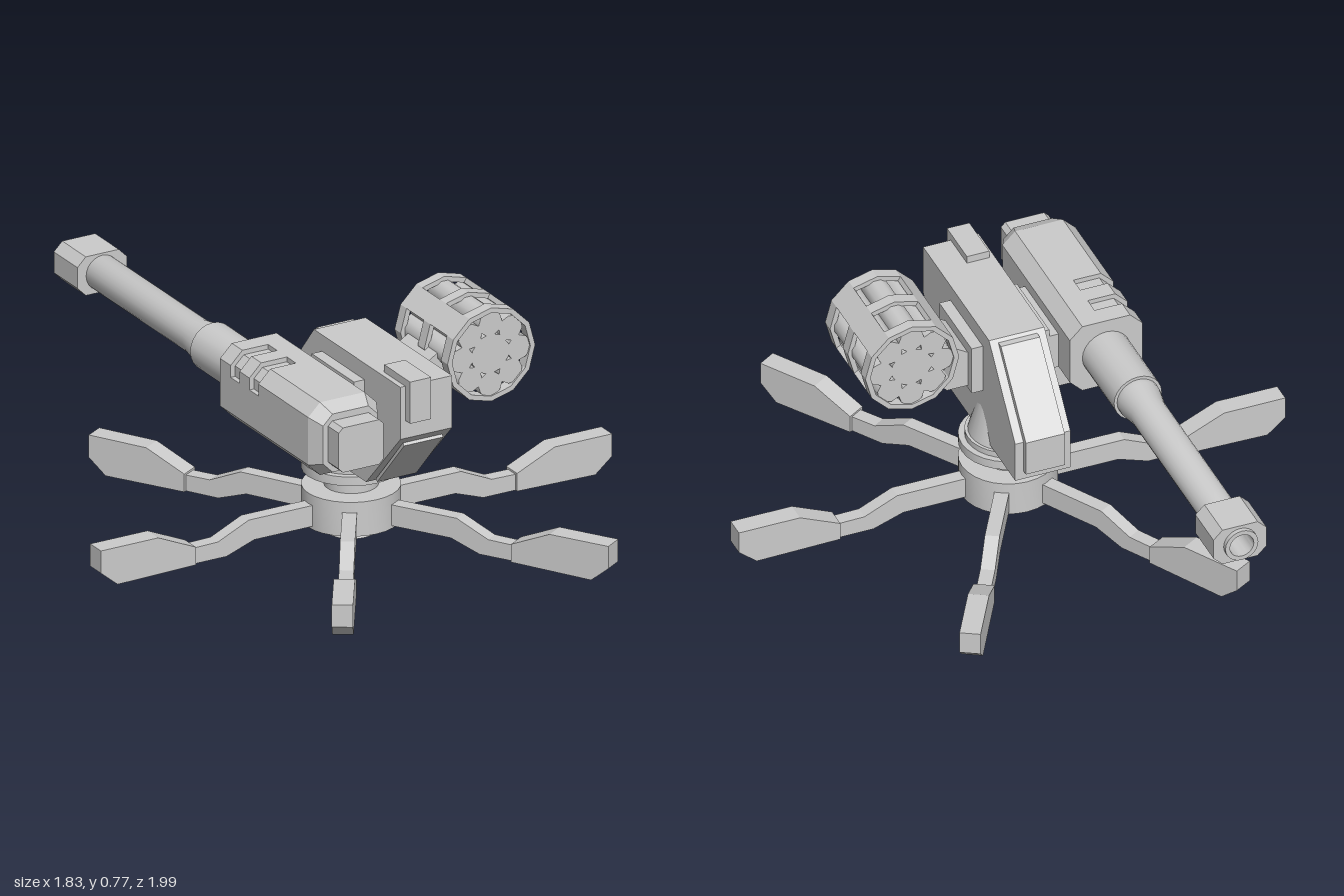
import * as THREE from 'three';
import { toCreasedNormals } from 'three/addons/utils/BufferGeometryUtils.js';

const material = new THREE.MeshStandardMaterial({ color: 0xcccccc });

function add(parent, name, geometry) {
  const mesh = new THREE.Mesh(geometry, material);
  mesh.name = name;
  parent.add(mesh);
  return mesh;
}

const vectors = (pts) => pts.map(([x, y]) => new THREE.Vector2(x, y));

// outline in x,y pushed from z0 to z1, with an optional hole
function prism(pts, z0, z1, hole) {
  const shape = new THREE.Shape(vectors(pts));
  if (hole) shape.holes.push(hole);
  return new THREE.ExtrudeGeometry(shape, { depth: z1 - z0, bevelEnabled: false }).translate(0, 0, z0);
}

// outline in z,y pushed symmetrically across x
const slab = (pts, width) => prism(pts, -width / 2, width / 2).rotateY(-Math.PI / 2);

// box from min and max corners
function box(x0, x1, y0, y1, z0, z1) {
  return new THREE.BoxGeometry(x1 - x0, y1 - y0, z1 - z0)
    .translate((x0 + x1) / 2, (y0 + y1) / 2, (z0 + z1) / 2);
}

function turned(profile, sides = 24) {
  return toCreasedNormals(new THREE.LatheGeometry(vectors(profile), sides), 0.5);
}

// rectangle with cut corners
const octagon = (w, h, c) => [
  [w, -h + c], [w, h - c], [w - c, h], [-w + c, h],
  [-w, h - c], [-w, -h + c], [-w + c, -h], [w - c, -h],
];

function buildStand() {
  const stand = new THREE.Group();
  stand.name = 'stand';
  stand.position.z = 0.2;
  // hollow foot, hub, column, turntable and cone
  add(stand, 'pedestal', turned([
    [0, 0.03], [0.06, 0.03], [0.065, 0], [0.08, 0], [0.065, 0.04], [0.155, 0.04], [0.155, 0.155],
    [0.085, 0.155], [0.085, 0.21], [0.155, 0.21], [0.155, 0.24], [0.135, 0.24],
    [0.135, 0.26], [0.125, 0.26], [0.085, 0.4], [0, 0.4],
  ], 28));
  // six legs, each an arm with a flat foot
  const arm = [[0.1, 0.05], [0.36, 0.05], [0.46, 0.015], [0.6, 0.015],
    [0.6, 0.068], [0.49, 0.07], [0.38, 0.12], [0.1, 0.12]];
  const foot = [[0.575, 0.015], [0.855, 0.01], [0.915, 0.06], [0.915, 0.135], [0.71, 0.135], [0.575, 0.075]];
  [0, 60, 120, 180, 238, 302].forEach((degrees) => {
    const leg = new THREE.Group();
    leg.name = 'leg';
    leg.rotation.y = THREE.MathUtils.degToRad(degrees);
    add(leg, 'legArm', prism(arm, -0.023, 0.023));
    add(leg, 'foot', prism(foot, -0.033, 0.033));
    stand.add(leg);
  });
  return stand;
}

function buildBody() {
  const body = new THREE.Group();
  body.name = 'body';
  add(body, 'bodyShell', slab([
    [0.66, 0.49], [0.66, 0.665], [0.13, 0.665], [-0.08, 0.41], [-0.08, 0.27], [0.45, 0.27],
  ], 0.185));
  // raised plates over the two sloped ends
  add(body, 'slopePlate', slab([
    [0.14, 0.6], [0.14, 0.655], [0.1, 0.655], [-0.1, 0.42], [-0.1, 0.3], [-0.06, 0.3],
  ], 0.13));
  add(body, 'lowerPlate', slab([
    [0.479, 0.276], [0.645, 0.458], [0.637, 0.465], [0.471, 0.283],
  ], 0.14));
  add(body, 'sight', box(-0.075, 0, 0.55, 0.69, 0.53, 0.69));
  // mounting pads on both sides
  for (const side of [-1, 1]) {
    add(body, 'sidePad', box(-0.025, 0.025, 0.44, 0.61, 0.18, 0.44)).position.x = side * 0.105;
  }
  add(body, 'gunMount', box(-0.18, -0.12, 0.46, 0.585, 0.18, 0.45));
  add(body, 'gunBracket', prism([
    [-0.33, 0.43], [-0.27, 0.37], [-0.08, 0.37], [-0.08, 0.45], [-0.33, 0.45],
  ], 0.2, 0.45));
  add(body, 'drumArm', prism([
    [0.12, 0.45], [0.2, 0.45], [0.25, 0.5], [0.22, 0.62], [0.2, 0.62], [0.12, 0.57],
  ], 0.21, 0.39));
  return body;
}

function buildGun() {
  const gun = new THREE.Group();
  gun.name = 'gun';
  gun.position.set(-0.283, 0.54, 0);
  const full = octagon(0.122, 0.122, 0.042);
  const notched = [
    [0.122, -0.08], [0.122, 0.08], [0.08, 0.122], [0.012, 0.122], [0.012, 0.106], [-0.075, 0.106],
    [-0.106, 0.075], [-0.106, 0.04], [-0.122, 0.04], [-0.122, -0.08], [-0.08, -0.122], [0.08, -0.122],
  ];
  // housing in slices, the notched ones forming vent grooves
  const cuts = [0.09, 0.155, 0.21, 0.27, 0.325, 0.63];
  for (let i = 0; i < 5; i++) {
    add(gun, i % 2 ? 'ventSlice' : 'housing', prism(i % 2 ? notched : full, cuts[i], cuts[i + 1]));
  }
  // tapered end
  const taper = prism(full, 0.63, 0.68);
  const p = taper.attributes.position;
  for (let i = 0; i < p.count; i++) {
    if (p.getZ(i) > 0.67) p.setXY(i, p.getX(i) * 0.8, p.getY(i) * 0.8);
  }
  taper.computeVertexNormals();
  add(gun, 'housingTaper', taper);
  add(gun, 'endCap', prism(octagon(0.08, 0.075, 0.015), 0.67, 0.745));
  // sleeve, barrel and hollow tip, turned about the bore
  add(gun, 'barrel', turned([
    [0, -0.1], [0.08, -0.1], [0.08, 0.165], [0.07, 0.165], [0.07, 0.185], [0.058, 0.25], [0.058, 0.86],
    [0.055, 0.87], [0.055, 1], [0.04, 1], [0.04, 0.88], [0, 0.88],
  ]).rotateX(-Math.PI / 2));
  // muzzle block with a round bore
  const bore = new THREE.Path().absarc(0, 0, 0.05, 0, Math.PI * 2, true);
  add(gun, 'muzzle', prism(octagon(0.089, 0.065, 0.03), -0.985, -0.84, bore));
  return gun;
}

function buildDrum() {
  const drum = new THREE.Group();
  drum.name = 'drum';
  drum.position.set(0.34, 0.615, 0);
  const point = (r, step) => [r * Math.cos(step * Math.PI / 6), r * Math.sin(step * Math.PI / 6)];
  const ring = (r) => Array.from({ length: 12 }, (_, i) => point(r, i));
  // three twelve-sided hoops
  for (const [z0, z1] of [[0.153, 0.19], [0.295, 0.335], [0.437, 0.477]]) {
    add(drum, 'hoop', prism(ring(0.157), z0, z1, new THREE.Path(vectors(ring(0.14)))));
  }
  // four ribs leaving windows between them
  for (let i = 0; i < 4; i++) {
    const s = i * 3 + 1;
    add(drum, 'rib', prism([point(0.14, s), point(0.157, s), point(0.157, s + 1), point(0.14, s + 1)], 0.18, 0.45));
  }
  // chambers around a central core
  const rod = (r) => toCreasedNormals(
    new THREE.CylinderGeometry(r, r, 0.312, 10).rotateX(Math.PI / 2), 0.7);
  add(drum, 'core', rod(0.068)).position.z = 0.315;
  for (let i = 0; i < 8; i++) {
    const a = i * Math.PI / 4;
    const chamber = add(drum, 'chamber', rod(0.042));
    chamber.position.set(0.102 * Math.cos(a), 0.102 * Math.sin(a), 0.315);
    chamber.rotation.z = a;
  }
  return drum;
}

export function createModel() {
  const model = new THREE.Group();
  model.name = 'turret';
  model.add(buildStand(), buildBody(), buildGun(), buildDrum());
  return model;
}
